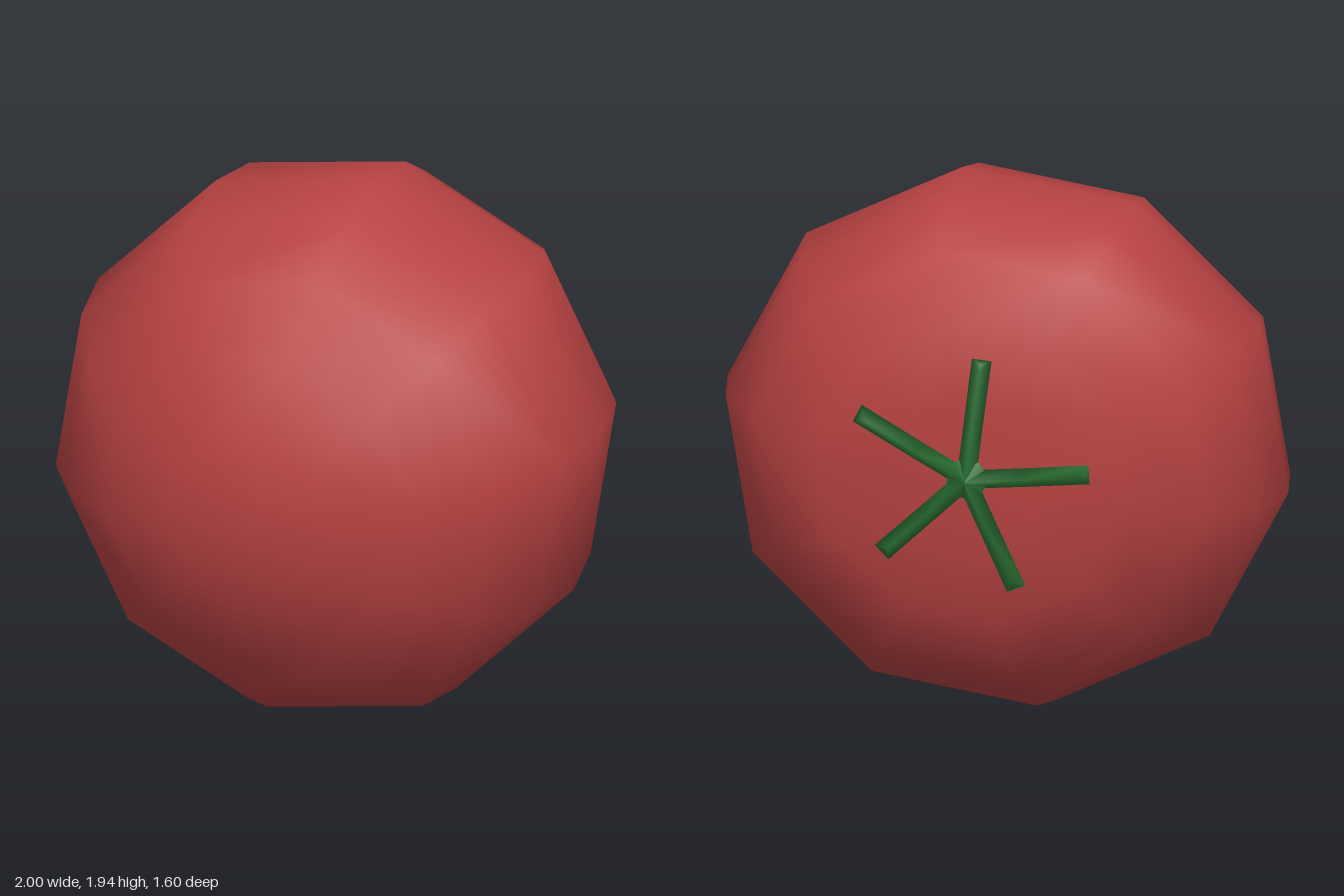
import * as THREE from 'three';

// Joins point loops into one smooth skin; loops with a single point become tips.
function skin(loops, sides) {
  const pos = [], index = [], starts = [];
  for (const loop of loops) {
    starts.push(pos.length / 3);
    loop.forEach(p => pos.push(...p));
  }
  const at = (i, j) => starts[i] + (loops[i].length === 1 ? 0 : j % sides);
  for (let i = 0; i < loops.length - 1; i++) {
    for (let j = 0; j < sides; j++) {
      const a = at(i, j), b = at(i, j + 1), c = at(i + 1, j), d = at(i + 1, j + 1);
      if (a !== b) index.push(a, c, b);
      if (c !== d) index.push(b, c, d);
    }
  }
  const geo = new THREE.BufferGeometry();
  geo.setAttribute('position', new THREE.Float32BufferAttribute(pos, 3));
  geo.setIndex(index);
  geo.computeVertexNormals();
  return geo;
}

// Round ten-sided fruit, lying with its stem end to the back
function makeBody() {
  const sides = 10, phase = 0.152;
  // [radius, z] from the front tip to the raised middle of the stem dimple
  const profile = [
    [0, 0.8], [0.305, 0.765], [0.592, 0.645], [0.812, 0.46], [0.955, 0.225], [1, -0.025],
    [0.953, -0.285], [0.81, -0.52], [0.548, -0.68], [0.28, -0.665], [0, -0.77],
  ];
  const loops = profile.map(([r, z]) => {
    const cx = -0.03 * z, cy = 0.972 - 0.088 * z; // slightly leaning axis
    if (r === 0) return [[cx, cy, z]];
    return Array.from({ length: sides }, (_, j) => {
      const a = phase + j / sides * Math.PI * 2;
      const x = 1.01 * r * Math.cos(a);
      return [cx + x, cy + 0.985 * r * Math.sin(a), z + 0.03 * x];
    });
  });
  return skin(loops, sides);
}

// One sepal along +x: a ridged strip falling from the hub, with a slanted end
function makeSepal(length) {
  const section = (rTop, rBase, zTop, zBase, w) => [
    [rTop, 0, zTop], [rBase, -w, zBase], [rBase, w, zBase],
  ];
  return skin([
    [[length, 0, 0.09]],
    section(length - 0.02, length + 0.015, 0.068, 0.1, 0.035),
    section(0.2, 0.2, 0.035, 0.065, 0.034),
    section(0, 0, 0, 0.04, 0.034),
  ], 3);
}

export function createModel() {
  const model = new THREE.Group();
  const red = new THREE.MeshStandardMaterial({ color: 0xb84242 });
  const green = new THREE.MeshStandardMaterial({ color: 0x2a6e32, side: THREE.DoubleSide });

  const body = new THREE.Mesh(makeBody(), red);
  body.name = 'fruitBody';
  model.add(body);

  // Green star of five sepals around the stem end
  const calyx = new THREE.Group();
  calyx.name = 'calyx';
  calyx.position.set(0.02, 1.05, -0.8);
  const sepals = [[96, 0.41], [27, 0.43], [-44.5, 0.42], [-112, 0.43], [177, 0.41]];
  sepals.forEach(([deg, length], i) => {
    const sepal = new THREE.Mesh(makeSepal(length), green);
    sepal.name = `sepal${i + 1}`;
    sepal.rotation.z = THREE.MathUtils.degToRad(deg);
    calyx.add(sepal);
  });

  // Low hub where the sepals meet
  const hub = new THREE.Mesh(new THREE.ConeGeometry(0.075, 0.045, 10), green);
  hub.name = 'hub';
  hub.rotation.x = -Math.PI / 2;
  hub.position.z = 0.0225;
  calyx.add(hub);
  model.add(calyx);

  return model;
}
